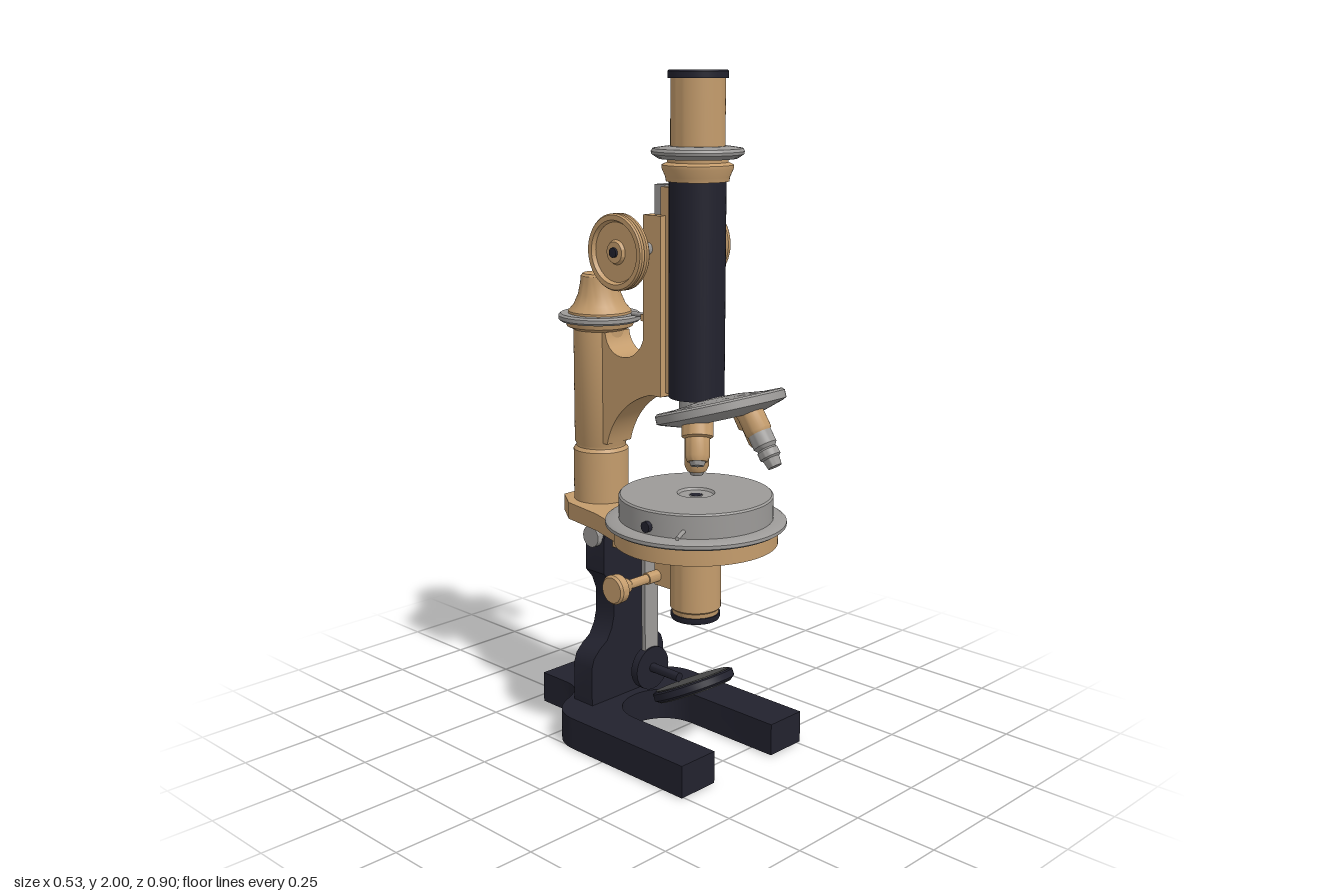
import * as THREE from 'three';
import { toCreasedNormals } from 'three/addons/utils/BufferGeometryUtils.js';

const mat = (name, color) => new THREE.MeshStandardMaterial({ name, color });

export function createModel() {
  const model = new THREE.Group();
  model.name = 'microscope';
  const brass = mat('brass', 0xc49c6c);
  const black = mat('black enamel', 0x22222e);
  const steel = mat('steel', 0x9c9a98);
  const glass = mat('mirror glass', 0x505050);
  const tubeZ = 0.135, columnZ = -0.265;

  const add = (name, geo, material, pos = [0, 0, 0], parent = model) => {
    const mesh = new THREE.Mesh(toCreasedNormals(geo, 0.6), material);
    mesh.name = name;
    mesh.position.set(...pos);
    parent.add(mesh);
    return mesh;
  };
  // Turned part: [radius, height] pairs, listed upwards
  const turned = (name, material, pts, pos, parent, segments = 48) =>
    add(name, new THREE.LatheGeometry(pts.map(p => new THREE.Vector2(...p)), segments), material, pos, parent);
  const box = (name, material, size, pos, parent) =>
    add(name, new THREE.BoxGeometry(...size), material, pos, parent);
  // Cylinder lying along x or z
  const rod = (name, material, r, len, pos, axis = 'x', parent = model) => {
    const g = new THREE.CylinderGeometry(r, r, len, 24);
    if (axis === 'x') g.rotateZ(Math.PI / 2); else g.rotateX(Math.PI / 2);
    return add(name, g, material, pos, parent);
  };
  const extrude = (shape, depth) =>
    new THREE.ExtrudeGeometry(shape, { depth, bevelEnabled: false, curveSegments: 20 });
  // Plan outline (x, z) hanging down from height top
  const plate = (name, material, shape, top, depth) =>
    add(name, extrude(shape, depth).rotateX(Math.PI / 2), material, [0, top, 0]);
  // Side outline (z, y) centred on x = 0
  const profile = (name, material, shape, width) =>
    add(name, extrude(shape, width).rotateY(-Math.PI / 2), material, [width / 2, 0, 0]);

  // Horseshoe base
  const base = new THREE.Shape();
  base.moveTo(-0.085, -0.455);
  base.lineTo(0.085, -0.455);
  base.lineTo(0.085, -0.34);
  base.bezierCurveTo(0.09, -0.27, 0.14, -0.26, 0.18, -0.24);
  base.bezierCurveTo(0.23, -0.22, 0.26, -0.18, 0.26, -0.12);
  base.lineTo(0.26, 0.33);
  base.lineTo(0.125, 0.33);
  base.lineTo(0.125, 0);
  base.bezierCurveTo(0.12, -0.16, -0.12, -0.16, -0.125, 0);
  base.lineTo(-0.125, 0.33);
  base.lineTo(-0.26, 0.33);
  base.lineTo(-0.26, -0.12);
  base.bezierCurveTo(-0.26, -0.18, -0.23, -0.22, -0.18, -0.24);
  base.bezierCurveTo(-0.14, -0.26, -0.09, -0.27, -0.085, -0.34);
  plate('base', black, base, 0.1, 0.098);
  for (const s of [-1, 1]) {
    box('frontFootPad', glass, [0.085, 0.004, 0.1], [s * 0.193, 0.002, 0.25]);
    box('rearFootPad', glass, [0.085, 0.004, 0.1], [s * 0.17, 0.002, -0.12]);
  }

  // Pillar with wide foot and hinge head
  const half = [[0.155, 0.1], [0.155, 0.22], [0.145, 0.25], [0.12, 0.275], [0.09, 0.295], [0.07, 0.33],
    [0.06, 0.37], [0.06, 0.44], [0.075, 0.48], [0.1, 0.51], [0.1, 0.62], [0.085, 0.65]];
  const pillar = new THREE.Shape([...half, ...half.map(([x, y]) => [-x, y]).reverse()]
    .map(p => new THREE.Vector2(...p)));
  add('pillar', extrude(pillar, 0.08), black, [0, 0, -0.23]);
  rod('hingePin', steel, 0.033, 0.235, [0, 0.625, -0.19]);
  box('hingeBlock', brass, [0.13, 0.08, 0.18], [0, 0.63, -0.15]);

  // Stage plate reaching back to the column
  const stage = new THREE.Shape();
  stage.absarc(0, tubeZ, 0.24, -0.75, Math.PI + 0.75, false);
  stage.lineTo(-0.14, -0.14);
  stage.lineTo(-0.115, -0.29);
  stage.lineTo(-0.06, -0.37);
  stage.lineTo(0.06, -0.37);
  stage.lineTo(0.115, -0.29);
  stage.lineTo(0.14, -0.14);
  plate('stagePlate', brass, stage, 0.712, 0.052);
  turned('stageDisc', steel, [[0, 0.71], [0.255, 0.71], [0.264, 0.716], [0.264, 0.726], [0.255, 0.732],
    [0.225, 0.734], [0.225, 0.8], [0.22, 0.805], [0.055, 0.805], [0.05, 0.798], [0.02, 0.798], [0.018, 0.79], [0, 0.79]],
  [0, 0, tubeZ], model, 64);
  turned('stageOpening', black, [[0.018, 0.7985], [0, 0.7985]], [0, 0, tubeZ]);
  const lever = rod('stageLever', steel, 0.006, 0.08, [-0.21, 0.755, 0.275]);
  lever.rotation.y = 0.5;
  rod('stageScrew', black, 0.016, 0.04, [-0.215, 0.757, 0.16]);

  // Condenser and its focusing knob
  turned('condenser', brass, [[0, 0.44], [0.068, 0.44], [0.07, 0.455], [0.075, 0.46], [0.075, 0.64], [0.06, 0.645],
    [0.06, 0.67]], [0, 0, tubeZ]);
  turned('condenserRim', black, [[0, 0.424], [0.07, 0.424], [0.073, 0.43], [0.073, 0.442], [0, 0.442]], [0, 0, tubeZ]);
  box('condenserBracket', brass, [0.07, 0.16, 0.07], [0, 0.58, 0.035]);
  const knob = turned('condenserKnob', brass, [[0.014, 0], [0.014, 0.08], [0.022, 0.09], [0.026, 0.11], [0.042, 0.12],
    [0.044, 0.145], [0.038, 0.152], [0, 0.152]], [-0.07, 0.53, 0.01]);
  knob.rotation.z = Math.PI / 2;
  rod('condenserAxle', brass, 0.018, 0.09, [-0.035, 0.53, 0.01]);

  // Mirror on its hanging bar
  box('mirrorBar', steel, [0.055, 0.46, 0.015], [0, 0.44, -0.055]);
  for (const s of [-1, 1]) rod('bracketScrew', steel, 0.02, 0.05, [s * 0.1, 0.635, -0.03], 'z');
  rod('mirrorPivot', black, 0.068, 0.025, [0, 0.21, -0.055], 'z');
  rod('mirrorArm', black, 0.014, 0.12, [0, 0.212, 0.01], 'z');
  const mirror = new THREE.Group();
  mirror.name = 'mirror';
  mirror.position.set(0, 0.205, 0.13);
  mirror.rotation.x = -0.46;
  model.add(mirror);
  turned('mirrorFrame', black, [[0, -0.015], [0.115, -0.015], [0.125, -0.008], [0.125, 0.012], [0.118, 0.016],
    [0, 0.016]], [0, 0, 0], mirror);
  turned('mirrorFace', glass, [[0, -0.018], [0.112, -0.018], [0.112, 0.019], [0, 0.019]], [0, 0, 0], mirror);

  // Column with fine focus knob
  turned('column', brass, [[0, 0.7], [0.084, 0.7], [0.084, 0.87], [0.076, 0.88], [0.076, 0.888], [0.08, 0.895],
    [0.08, 1.24], [0.1, 1.25], [0.105, 1.268], [0, 1.268]], [0, 0, columnZ]);
  turned('fineFocusRing', steel, [[0, 1.265], [0.118, 1.265], [0.125, 1.271], [0.125, 1.282], [0.118, 1.288],
    [0, 1.288]], [0, 0, columnZ]);
  turned('fineFocusKnob', brass, [[0.095, 1.285], [0.095, 1.295], [0.078, 1.315], [0.065, 1.345], [0.058, 1.38],
    [0.056, 1.4], [0.05, 1.407], [0, 1.407]], [0, 0, columnZ]);

  // Curved arm and rack slide
  const arm = new THREE.Shape();
  arm.moveTo(0.04, 1.08);
  arm.lineTo(0, 1.08);
  arm.bezierCurveTo(-0.08, 1.06, -0.16, 1.0, -0.185, 0.9);
  arm.lineTo(-0.24, 0.9);
  arm.lineTo(-0.24, 1.24);
  arm.lineTo(-0.19, 1.24);
  arm.bezierCurveTo(-0.18, 1.155, -0.06, 1.155, -0.03, 1.24);
  arm.lineTo(-0.03, 1.6);
  arm.lineTo(0.04, 1.6);
  profile('arm', brass, arm, 0.1);
  box('tubeSlide', brass, [0.06, 0.59, 0.05], [0, 1.385, 0.045]);
  box('rack', steel, [0.045, 0.61, 0.04], [0, 1.38, 0.01]);
  for (const y of [1.44, 1.5, 1.56]) rod('slideScrew', black, 0.011, 0.008, [0, y, -0.031], 'z');
  rod('clampLever', steel, 0.007, 0.1, [0, 1.3, -0.075], 'z');
  box('clampLug', brass, [0.07, 0.02, 0.03], [0, 1.3, -0.04]);

  // Coarse focus wheels, mirrored
  rod('focusAxle', steel, 0.018, 0.32, [0, 1.505, -0.01]);
  for (const s of [-1, 1]) {
    const wheel = new THREE.Group();
    wheel.name = s > 0 ? 'leftFocusWheel' : 'rightFocusWheel';
    wheel.position.set(0, 1.505, -0.01);
    wheel.rotation.z = -s * Math.PI / 2;
    model.add(wheel);
    turned('wheelRim', brass, [[0, 0.158], [0.085, 0.158], [0.09, 0.148], [0.104, 0.148], [0.108, 0.153], [0.108, 0.161],
      [0.101, 0.166], [0.108, 0.171], [0.108, 0.18], [0.104, 0.185], [0.09, 0.185], [0.084, 0.174], [0.035, 0.174],
      [0.03, 0.183], [0, 0.183]], [0, 0, 0], wheel);
    turned('wheelCollar', brass, [[0, 0.09], [0.024, 0.09], [0.03, 0.1], [0.03, 0.115], [0.022, 0.12], [0.022, 0.16]],
      [0, 0, 0], wheel);
    turned('wheelScrew', black, [[0.014, 0.18], [0.014, 0.19], [0, 0.191]], [0, 0, 0], wheel);
    turned('collarScrew', black, [[0, 0], [0.01, 0], [0.01, 0.018], [0, 0.018]], [s * 0.115, 1.53, -0.01]);
  }

  // Body tube, collar and eyepiece
  turned('bodyTube', black, [[0, 1.09], [0.08, 1.09], [0.08, 1.705], [0, 1.705]], [0, 0, tubeZ]);
  turned('tubeFoot', steel, [[0, 1.03], [0.05, 1.03], [0.05, 1.092]], [0, 0, tubeZ]);
  turned('tubeCollar', brass, [[0, 1.7], [0.088, 1.7], [0.09, 1.712], [0.1, 1.735], [0.1, 1.745], [0.085, 1.752],
    [0.085, 1.77]], [0, 0, tubeZ]);
  turned('collarFlange', steel, [[0, 1.762], [0.11, 1.762], [0.128, 1.774], [0.13, 1.782], [0.125, 1.79],
    [0.085, 1.796], [0, 1.796]], [0, 0, tubeZ]);
  turned('eyepiece', brass, [[0.076, 1.79], [0.076, 1.982], [0.06, 1.982], [0.058, 1.965], [0.025, 1.955],
    [0.022, 1.965], [0, 1.965]], [0, 0, tubeZ]);
  turned('eyepieceRim', black, [[0.07, 1.978], [0.084, 1.978], [0.084, 1.996], [0.08, 2], [0.066, 2], [0.06, 1.98],
    [0.059, 1.96]], [0, 0, tubeZ]);
  turned('eyepieceLens', glass, [[0.018, 1.967], [0, 1.967]], [0, 0, tubeZ]);

  // Tilted revolving nosepiece
  const tilt = 0.3;
  const nose = new THREE.Group();
  nose.name = 'nosepiece';
  nose.position.set(0, 1.075, 0.228);
  nose.rotation.x = -tilt;
  model.add(nose);
  turned('turret', steel, [[0, -0.035], [0.12, -0.035], [0.175, -0.018], [0.187, -0.012], [0.187, 0.01], [0.18, 0.016],
    [0.172, 0.012], [0.06, 0.026], [0, 0.028]], [0, 0, 0], nose, 64);

  // Four objectives fanned around the turret, the rear one upright
  for (let i = 0; i < 4; i++) {
    const turn = new THREE.Group();
    turn.name = 'objective' + (i + 1);
    turn.rotation.y = i * Math.PI / 2;
    nose.add(turn);
    const lens = new THREE.Group();
    lens.name = 'objectiveBarrel';
    lens.position.set(0, -0.01, 0.098);
    lens.rotation.x = -tilt;
    turn.add(lens);
    const slim = i === 0;
    const end = i === 2 ? -0.165 : -0.13;
    turned('barrel', brass, slim
      ? [[0, -0.09], [0.032, -0.09], [0.038, -0.08], [0.038, -0.03], [0.042, 0]]
      : [[0, end], [0.028, end], [0.035, end + 0.015], [0.035, -0.065], [0.044, -0.06], [0.044, 0]], [0, 0, 0], lens, 32);
    turned('lensTip', steel, slim
      ? [[0, -0.19], [0.02, -0.19], [0.024, -0.165], [0.03, -0.16], [0.03, -0.14], [0.026, -0.135], [0.034, -0.125], [0.034, -0.088]]
      : [[0, end - 0.012], [0.018, end - 0.012], [0.024, end + 0.002]], [0, 0, 0], lens, 32);
  }
  return model;
}
